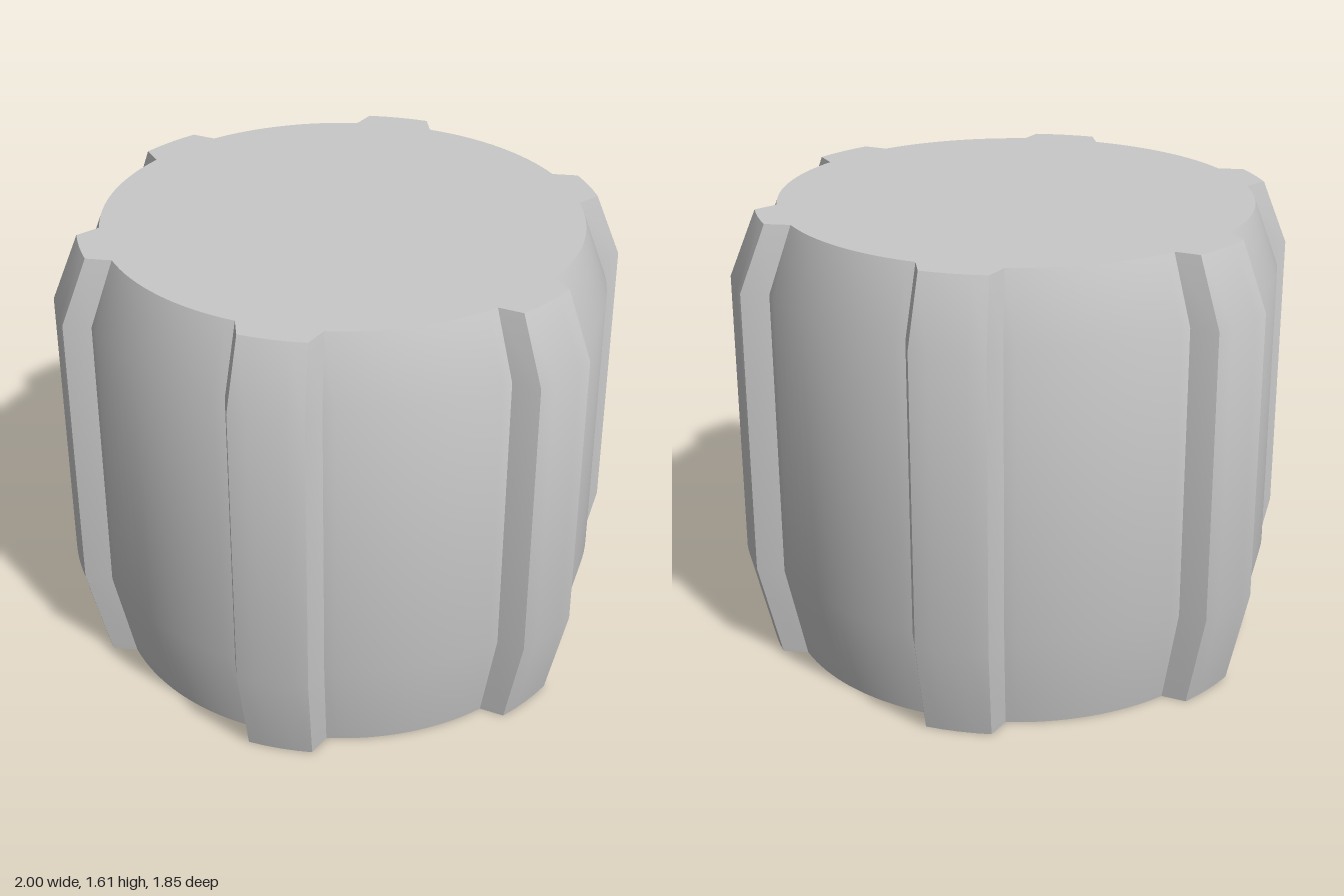
import * as THREE from 'three';
import { toCreasedNormals } from 'three/addons/utils/BufferGeometryUtils.js';

const BODY_R = 0.915, RIB_R = 1;

// Ribs: centre angle, half-angle at the crest, half-angle at the root (degrees)
const RIBS = [0, 60.5, 119.5, 180, 240.5, 299.5].map((a) =>
  a % 180 === 0 ? [a, 5.8, 8.9] : [a, 7.1, 9.8]);

// Height and scale of the cross-section at each level
const LEVELS = [[0, 0.92], [0.35, 1], [1.38, 1], [1.61, 0.906]];

function addArc(points, radius, from, to, steps) {
  for (let i = 0; i <= steps; i++) {
    const t = THREE.MathUtils.degToRad(from + (to - from) * i / steps);
    points.push([radius * Math.cos(t), radius * Math.sin(t)]);
  }
}

// Ribbed outline: rib crest, then the round body up to the next rib
function outline() {
  const points = [];
  RIBS.forEach(([angle, crest, root], i) => {
    const [next, , nextRoot] = RIBS[(i + 1) % RIBS.length];
    const end = (i === RIBS.length - 1 ? next + 360 : next) - nextRoot;
    addArc(points, RIB_R, angle - crest, angle + crest, 4);
    addArc(points, BODY_R, angle + root, end, 16);
  });
  return points;
}

function loftGeometry() {
  const ring = outline(), n = ring.length;
  const position = [], index = [];
  for (const [y, s] of LEVELS) for (const [x, z] of ring) position.push(x * s, y, z * s);
  const bottom = LEVELS.length * n, top = bottom + 1, last = (LEVELS.length - 1) * n;
  position.push(0, LEVELS[0][0], 0, 0, LEVELS[LEVELS.length - 1][0], 0);
  for (let i = 0; i < n; i++) {
    const j = (i + 1) % n;
    // side wall
    for (let k = 0; k < last; k += n) {
      index.push(k + i, k + n + i, k + n + j, k + i, k + n + j, k + j);
    }
    // end caps
    index.push(bottom, i, j, top, last + j, last + i);
  }
  const geometry = new THREE.BufferGeometry();
  geometry.setAttribute('position', new THREE.Float32BufferAttribute(position, 3));
  geometry.setIndex(index);
  return toCreasedNormals(geometry, 0.5);
}

export function createModel() {
  const group = new THREE.Group();
  group.name = 'ribbedKnob';
  const grey = new THREE.MeshStandardMaterial({ color: 0xc8c8c8 });
  grey.name = 'light grey';
  const body = new THREE.Mesh(loftGeometry(), grey);
  body.name = 'ribbedBody';
  group.add(body);
  return group;
}
